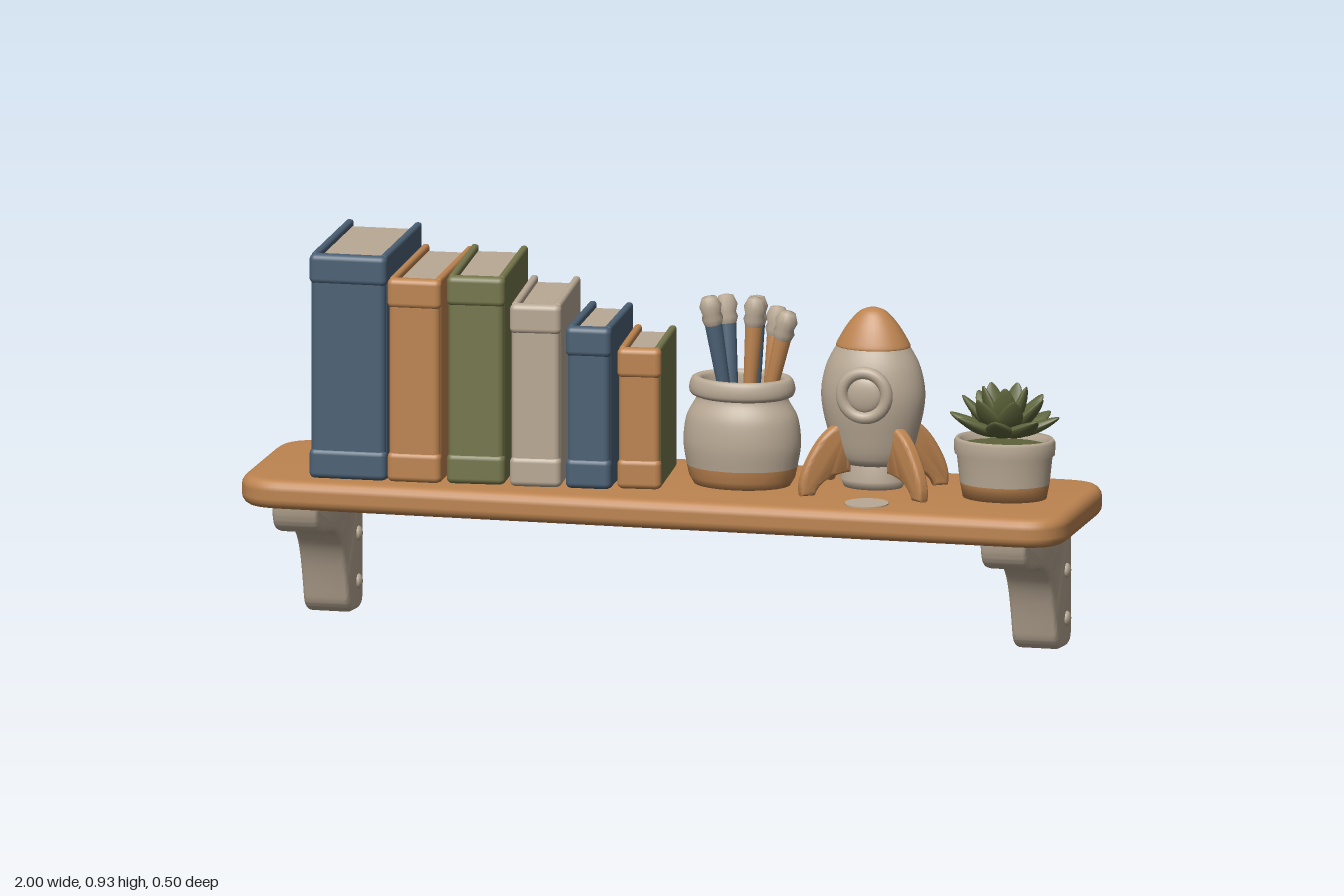
import * as THREE from 'three';
import { toCreasedNormals } from 'three/addons/utils/BufferGeometryUtils.js';
import { RoundedBoxGeometry } from 'three/addons/geometries/RoundedBoxGeometry.js';

const mat = (name, color) => {
  const m = new THREE.MeshStandardMaterial({ color });
  m.name = name;
  return m;
};

export function createModel() {
  const wood = mat('warm wood', 0xbd8450);
  const cream = mat('cream', 0xb9a995);
  const blue = mat('slate blue', 0x4b6074);
  const green = mat('olive green', 0x75764b);
  const leafGreen = mat('leaf green', 0x5d633a);

  const root = new THREE.Group();
  root.name = 'shelfWithObjects';
  const TOP = 0.39; // upper face of the board

  const add = (parent, name, geo, material, x = 0, y = 0, z = 0) => {
    const m = new THREE.Mesh(geo, material);
    m.name = name;
    m.position.set(x, y, z);
    parent.add(m);
    return m;
  };
  const group = (name, x, y, z, parent = root) => {
    const g = new THREE.Group();
    g.name = name;
    g.position.set(x, y, z);
    parent.add(g);
    return g;
  };
  const lathe = (pts, seg = 32) =>
    new THREE.LatheGeometry(pts.map(([r, y]) => new THREE.Vector2(r, y)), seg);
  const smoothLathe = (pts) =>
    new THREE.LatheGeometry(new THREE.SplineCurve(pts.map(([r, y]) => new THREE.Vector2(r, y))).getPoints(24), 32);
  // Extruded slab with rounded edges, centred on its thickness
  const slab = (shape, thick, bevel) => {
    const g = new THREE.ExtrudeGeometry(shape, {
      depth: thick - 2 * bevel, bevelEnabled: true, bevelSize: bevel, bevelOffset: -bevel,
      bevelThickness: bevel, bevelSegments: 4, curveSegments: 12,
    });
    g.translate(0, 0, -(thick - 2 * bevel) / 2);
    return toCreasedNormals(g, 0.7);
  };

  // Board with rounded corners
  const b = new THREE.Shape();
  const W = 1, D = 0.25, R = 0.11;
  b.moveTo(-W + R, -D);
  b.lineTo(W - R, -D).quadraticCurveTo(W, -D, W, -D + R);
  b.lineTo(W, D - R).quadraticCurveTo(W, D, W - R, D);
  b.lineTo(-W + R, D).quadraticCurveTo(-W, D, -W, D - R);
  b.lineTo(-W, -D + R).quadraticCurveTo(-W, -D, -W + R, -D);
  add(root, 'board', slab(b, 0.07, 0.025).rotateX(-Math.PI / 2), wood, 0, TOP - 0.035, 0);

  // Curved brackets with bolts on both cheeks
  const k = new THREE.Shape();
  k.moveTo(-0.22, 0.33);
  k.lineTo(-0.22, 0.03).quadraticCurveTo(-0.215, 0, -0.18, 0);
  k.lineTo(-0.12, 0.005).quadraticCurveTo(-0.085, 0.01, -0.075, 0.05);
  k.bezierCurveTo(-0.05, 0.14, -0.03, 0.2, 0.03, 0.225);
  k.bezierCurveTo(0.09, 0.245, 0.15, 0.245, 0.195, 0.262);
  k.quadraticCurveTo(0.225, 0.275, 0.23, 0.33);
  const bracketGeo = slab(k, 0.112, 0.014).rotateY(-Math.PI / 2);
  const boltGeo = new THREE.SphereGeometry(0.018, 14, 10).scale(0.6, 1, 1);
  for (const s of [-1, 1]) {
    const g = group(s > 0 ? 'leftBracket' : 'rightBracket', s * 0.857, 0, 0);
    add(g, 'bracketArm', bracketGeo, cream);
    for (const side of [-1, 1])
      for (const y of [0.07, 0.185]) add(g, 'bolt', boltGeo, cream, side * 0.056, y, -0.165);
  }

  // Books: centre x, width, back z, front z, height, yaw, cover, right-hand cover
  const books = [
    [-0.742, 0.182, -0.21, 0.2, 0.54, 0.03, blue, blue],
    [-0.585, 0.125, -0.21, 0.195, 0.49, 0.04, wood, wood],
    [-0.448, 0.135, -0.195, 0.18, 0.5, 0.09, green, green],
    [-0.305, 0.118, -0.165, 0.175, 0.44, 0.1, cream, cream],
    [-0.172, 0.105, -0.14, 0.165, 0.39, 0.06, blue, blue],
    [-0.06, 0.1, -0.14, 0.14, 0.34, 0.1, wood, green],
  ];
  books.forEach(([x, w, z0, z1, h, yaw, cover, side], i) => {
    const d = z1 - z0, t = 0.018;
    const g = group('book' + (i + 1), x, TOP, (z0 + z1) / 2);
    g.rotation.y = yaw;
    const board = new RoundedBoxGeometry(t, h, d - 0.02, 2, 0.008);
    add(g, 'coverRight', board, cover, -w / 2 + t / 2, h / 2, -0.01);
    add(g, 'coverLeft', board, side, w / 2 - t / 2, h / 2, -0.01);
    add(g, 'pages', new THREE.BoxGeometry(w - 2 * t + 0.004, h - 0.03, d - 0.04), cream, 0, h / 2, -0.003);
    add(g, 'spine', new RoundedBoxGeometry(w - 0.004, h - 0.01, 0.035, 3, 0.014), cover, 0, h / 2, d / 2 - 0.022);
    for (const y of [0.037, h - 0.037])
      add(g, 'spineBand', new RoundedBoxGeometry(w + 0.004, 0.072, 0.034, 3, 0.014), cover, 0, y, d / 2 - 0.017);
  });

  // Jar of brushes, oval in plan
  const jar = group('brushJar', 0.17, TOP, 0);
  const jarBody = group('jarBody', 0, 0, 0, jar);
  jarBody.scale.z = 0.74;
  add(jarBody, 'jarFoot', lathe([[0, 0], [0.115, 0], [0.126, 0.018], [0.132, 0.045]]), wood);
  add(jarBody, 'jarBelly', smoothLathe([[0.132, 0.045], [0.14, 0.1], [0.133, 0.16], [0.112, 0.2], [0.108, 0.212]]), cream);
  add(jarBody, 'jarRim', smoothLathe([[0.106, 0.208], [0.123, 0.216], [0.126, 0.235], [0.118, 0.255], [0.1, 0.255], [0.094, 0.235], [0.092, 0.19]]), cream);
  add(jarBody, 'jarInside', new THREE.CircleGeometry(0.1, 32).rotateX(-Math.PI / 2), wood, 0, 0.195, 0);
  // Brushes: foot x, foot z, tip x, tip z, tip height, handle
  const brushes = [
    [-0.03, 0.02, -0.07, 0.045, 0.455, blue], [0.02, 0.02, 0.04, 0.03, 0.455, wood],
    [0.06, 0.01, 0.12, 0.03, 0.425, wood], [-0.03, -0.03, -0.055, -0.06, 0.44, blue],
    [0.02, -0.03, 0.02, -0.065, 0.44, blue], [0.055, -0.03, 0.075, -0.05, 0.42, wood],
  ];
  for (const [x0, z0, x1, z1, h, m] of brushes) {
    const a = new THREE.Vector3(x0, 0.18, z0), e = new THREE.Vector3(x1, h, z1);
    const L = a.distanceTo(e);
    const g = group('brush', a.x, a.y, a.z, jar);
    g.quaternion.setFromUnitVectors(new THREE.Vector3(0, 1, 0), e.sub(a).normalize());
    add(g, 'handle', lathe([[0.014, 0], [0.021, L * 0.75], [0, L * 0.75]], 12), m);
    add(g, 'bristles', lathe([[0.021, L - 0.07], [0.026, L - 0.055], [0.022, L - 0.043], [0.027, L - 0.025], [0.018, L - 0.004], [0, L]], 12), cream);
  }

  // Toy rocket
  const rocket = group('rocket', 0.487, TOP, 0);
  const hull = group('hull', 0, 0, 0, rocket);
  hull.scale.z = 0.74;
  add(hull, 'nozzle', lathe([[0, 0.01], [0.07, 0.01], [0.08, 0.03], [0.06, 0.09]]), cream);
  add(hull, 'hullBody', smoothLathe([[0, 0.065], [0.078, 0.07], [0.11, 0.15], [0.124, 0.23], [0.112, 0.3], [0.085, 0.352]]), cream);
  add(hull, 'noseCone', smoothLathe([[0.084, 0.345], [0.088, 0.352], [0.063, 0.395], [0.035, 0.427], [0.012, 0.438], [0, 0.439]]), wood);
  const porthole = group('porthole', 0, 0.245, 0.087, rocket);
  add(porthole, 'portholeRing', new THREE.TorusGeometry(0.054, 0.015, 12, 32), cream);
  add(porthole, 'portholeGlass', new THREE.SphereGeometry(0.042, 20, 12).scale(1, 1, 0.3), cream);
  const f = new THREE.Shape();
  f.moveTo(0.06, 0.17);
  f.quadraticCurveTo(0.12, 0.175, 0.165, 0.09);
  f.quadraticCurveTo(0.195, 0.035, 0.185, 0);
  f.lineTo(0.15, 0).quadraticCurveTo(0.135, 0.045, 0.06, 0.05);
  const finGeo = slab(f, 0.03, 0.011);
  for (const a of [0.62, -0.62, Math.PI - 0.62, Math.PI + 0.62])
    add(rocket, 'fin', finGeo, wood).rotation.y = a;

  // Succulent in an oval pot
  const plant = group('plant', 0.805, TOP, 0);
  plant.scale.z = 0.72;
  add(plant, 'potFoot', lathe([[0, 0], [0.1, 0], [0.107, 0.035]]), wood);
  add(plant, 'pot', lathe([[0.107, 0.035], [0.114, 0.1], [0.12, 0.105], [0.121, 0.135], [0.116, 0.143], [0.104, 0.14], [0.102, 0.12]]), cream);
  add(plant, 'soil', new THREE.CircleGeometry(0.106, 32).rotateX(-Math.PI / 2), leafGreen, 0, 0.125, 0);
  // Leaf: plump ellipsoid, pointed and curled at the tip
  const leaf = new THREE.SphereGeometry(1, 14, 12).rotateX(Math.PI / 2);
  const p = leaf.attributes.position;
  for (let i = 0; i < p.count; i++) {
    const t = (p.getZ(i) + 1) / 2;
    const taper = 1.1 - 0.45 * t * t;
    p.setXYZ(i, p.getX(i) * 0.034 * taper, p.getY(i) * 0.015 * taper + 0.02 * t * t, t * 0.13);
  }
  leaf.computeVertexNormals();
  // Leaf rings: count, tilt, length scale, offset
  [[8, 0.2, 0.98, 0], [7, 0.6, 0.95, 0.4], [5, 1.0, 0.9, 0.2]].forEach(([n, tilt, s, off]) => {
    for (let i = 0; i < n; i++) {
      const m = add(plant, 'leaf', leaf, leafGreen, 0, 0.15, 0);
      m.rotation.set(-tilt, off + (i * Math.PI * 2) / n, 0, 'YXZ');
      m.scale.setScalar(s);
      m.translateZ(0.012);
    }
  });

  // Pale round patch on the board
  add(root, 'patch', new THREE.CylinderGeometry(0.052, 0.052, 0.004, 20), cream, 0.51, TOP + 0.001, 0.155);

  return root;
}
